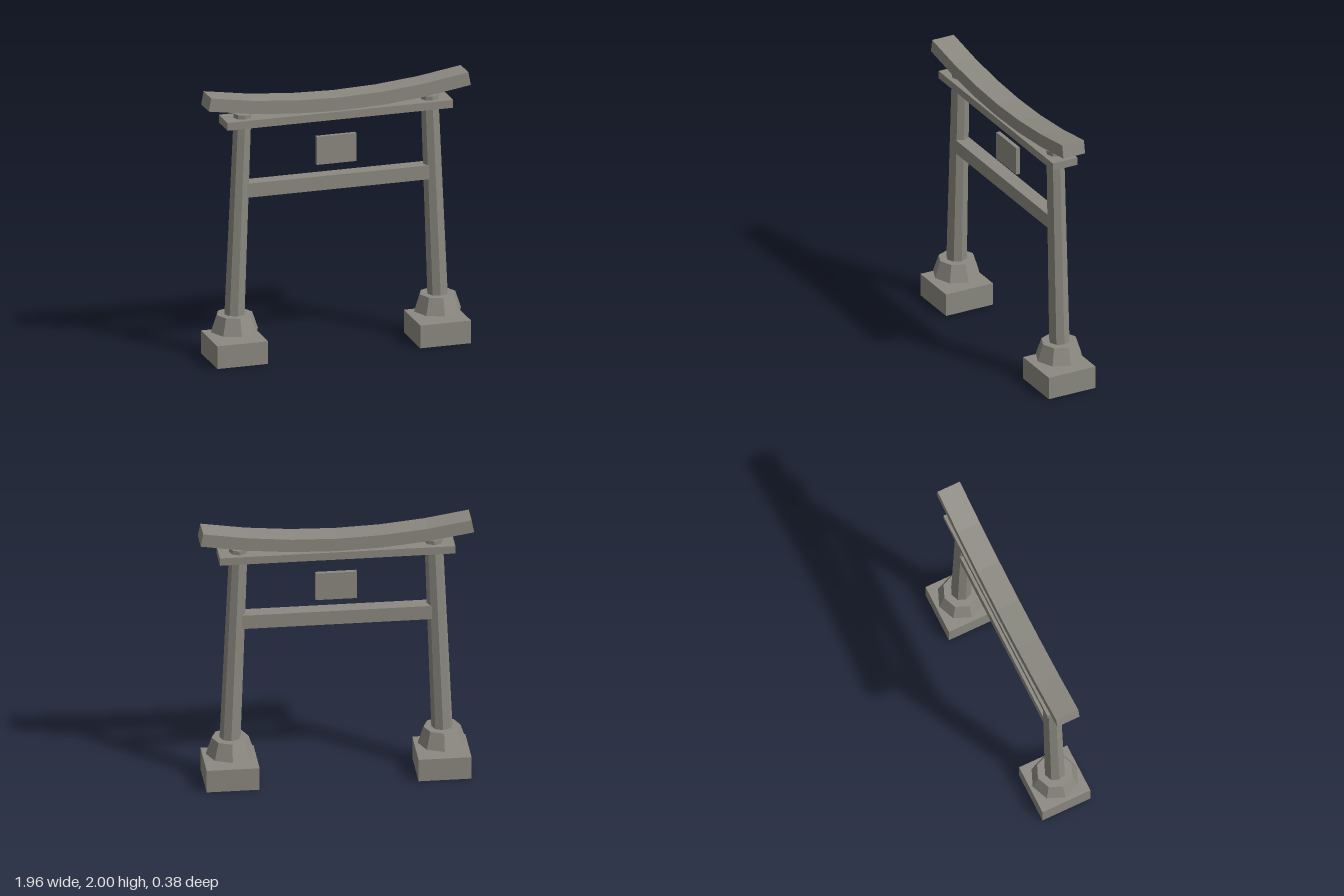
import * as THREE from 'three';

export function createModel() {
  const group = new THREE.Group();
  const stone = new THREE.MeshStandardMaterial({ color: 0x8b8980 });
  stone.name = 'weathered stone';
  stone.flatShading = true;

  const add = (name, geometry, x, y, z = 0) => {
    const mesh = new THREE.Mesh(geometry, stone);
    mesh.name = name;
    mesh.position.set(x, y, z);
    group.add(mesh);
    return mesh;
  };
  const box = (name, w, y0, y1, d) =>
    add(name, new THREE.BoxGeometry(w, y1 - y0, d), 0, (y0 + y1) / 2);

  // Plinths, octagonal footings and inward-leaning octagonal pillars
  for (const [side, s] of [['left', 1], ['right', -1]]) {
    add(side + 'Plinth', new THREE.BoxGeometry(0.38, 0.17, 0.38), s * 0.76, 0.085);
    add(side + 'Footing', new THREE.CylinderGeometry(0.133, 0.175, 0.125, 8), s * 0.76, 0.2775);
    const pillar = add(side + 'Pillar', new THREE.CylinderGeometry(0.066, 0.076, 1.51, 8), s * 0.73, 1.083);
    pillar.rotation.z = s * 0.04;
  }

  // Straight crossbeams and the hanging tablet
  box('tieBeam', 1.4, 1.215, 1.32, 0.106);
  box('lowerLintel', 1.69, 1.75, 1.808, 0.2);
  box('tablet', 0.295, 1.395, 1.605, 0.03);

  // Upswept top lintel: six straight spans along a shallow parabola
  const top = [], bottom = [];
  for (let i = -3; i <= 3; i++) {
    const x = i * 0.321;
    const slope = 2 * 0.09 * x / (0.963 * 0.963);
    const n = Math.hypot(1, slope);
    const y = 1.91 + 0.09 * (x / 0.963) ** 2;
    top.push(new THREE.Vector2(x, y));
    bottom.push(new THREE.Vector2(x + 0.098 * slope / n, y - 0.098 / n));
  }
  const outline = new THREE.Shape([...bottom, ...top.reverse()]);
  const lintel = new THREE.ExtrudeGeometry(outline, { depth: 0.176, bevelEnabled: false });
  add('topLintel', lintel, 0, 0, -0.088);

  return group;
}
